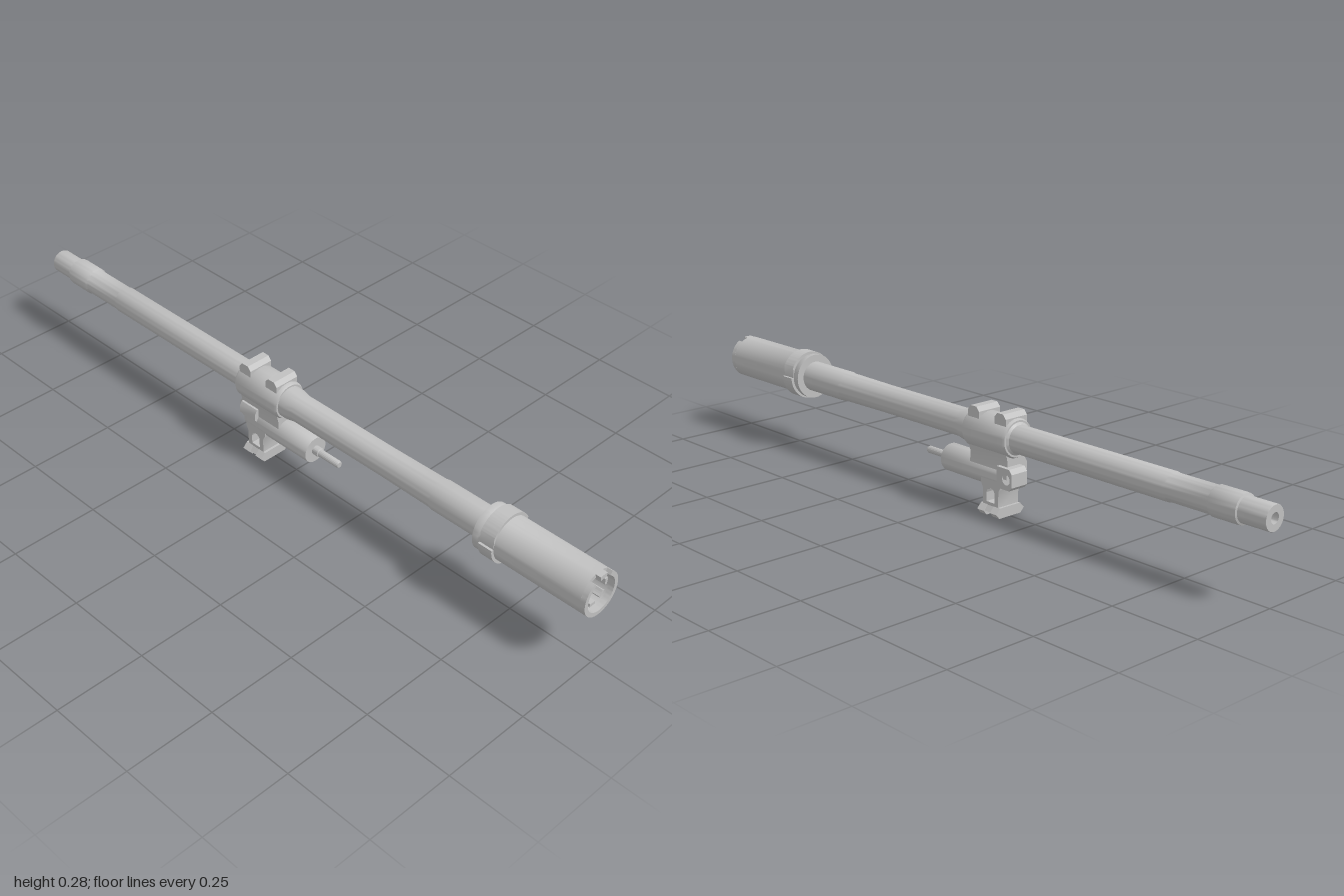
import * as THREE from 'three';
import { toCreasedNormals } from 'three/addons/utils/BufferGeometryUtils.js';

const AXIS = 0.216; // height of the main tube axis
const TUBE = 0.109; // height of the lower tube axis

export function createModel() {
  const model = new THREE.Group();
  const steel = new THREE.MeshStandardMaterial({ color: 0xc0c0c0 });
  steel.name = 'steel grey';

  const add = (name, geometry, x = 0, y = 0, z = 0, parent = model) => {
    const mesh = new THREE.Mesh(toCreasedNormals(geometry, 0.6), steel);
    mesh.name = name;
    mesh.position.set(x, y, z);
    parent.add(mesh);
  };
  // Revolve [radius, z] pairs around the z axis
  const lathe = (pts, sides = 40) =>
    new THREE.LatheGeometry(pts.map(([r, z]) => new THREE.Vector2(r, z)), sides).rotateX(Math.PI / 2);
  const polygon = (pts) => new THREE.Shape(pts.map(([x, y]) => new THREE.Vector2(x, y)));
  const extrude = (shape, depth) =>
    new THREE.ExtrudeGeometry(shape, { depth, bevelEnabled: false, curveSegments: 24 });
  // Extrude a [z, y] outline across x, centred on x = 0
  const extrudeX = (shape, width) =>
    extrude(shape, width).rotateY(-Math.PI / 2).translate(width / 2, 0, 0);
  const circle = (r, x = 0, y = 0) => new THREE.Path().absarc(x, y, r, 0, Math.PI * 2, true);
  // Curved bar between two radii and two angles
  const sector = (r0, r1, a0, a1) => {
    const s = new THREE.Shape();
    s.absarc(0, 0, r1, a0, a1, false);
    s.absarc(0, 0, r0, a1, a0, true);
    s.closePath();
    return s;
  };

  // Main tube with socket and through bore
  add('mainTube', lathe([
    [0.014, -1], [0.032, -1], [0.033, -0.997], [0.033, -0.92], [0.038, -0.918],
    [0.039, -0.91], [0.039, -0.84], [0.036, -0.835], [0.036, -0.71], [0.038, -0.705],
    [0.038, -0.19], [0.044, -0.185], [0.044, -0.005], [0.039, 0.02], [0.039, 0.33],
    [0.041, 0.5], [0.043, 0.51], [0.043, 0.665], [0.064, 0.665], [0.064, 0.68],
    [0.061, 0.685], [0.061, 0.985], [0.049, 0.985], [0.049, 0.9], [0.023, 0.9],
    [0.02, 0.895], [0.014, 0.895], [0.014, -1],
  ]), 0, AXIS);

  // Flange with flats on the upper sides
  const flat = 0.062, ringR = 0.069, a = Math.acos(flat / ringR);
  const flange = new THREE.Shape();
  flange.absarc(0, 0, ringR, Math.PI, Math.PI * 2, false);
  flange.lineTo(flat, 0);
  flange.absarc(0, 0, ringR, a, Math.PI - a, false);
  flange.lineTo(-flat, 0);
  flange.closePath();
  flange.holes.push(circle(0.056));
  add('flange', extrude(flange, 0.042), 0, AXIS, 0.688);

  // Socket rim, notched on either side of the top
  const deg = Math.PI / 180;
  for (const [from, to] of [[78, 102], [122, 418]]) {
    add('socketRim', extrude(sector(0.049, 0.061, from * deg, to * deg), 0.015), 0, AXIS, 0.985);
  }
  // Inner lugs, with a pointed one at the top
  for (let k = 1; k < 8; k++) {
    const mid = (90 + 45 * k) * deg;
    add('socketLug', extrude(sector(0.04, 0.05, mid - 0.22, mid + 0.22), 0.035), 0, AXIS, 0.945);
  }
  add('topSocketLug', extrude(polygon([[-0.018, 0.049], [0, 0.037], [0.018, 0.049]]), 0.06), 0, AXIS, 0.9);

  // Clamp block around the main tube
  add('clampBlock', lathe([
    [0.04, -0.185], [0.049, -0.185], [0.053, -0.178], [0.053, -0.032], [0.049, -0.025], [0.04, -0.025],
  ]), 0, AXIS);
  // Chamfered cross lugs on top of the clamp
  const lugOutline = polygon([
    [-0.021, 0.25], [0.021, 0.25], [0.021, 0.272], [0.011, 0.284], [-0.011, 0.284], [-0.021, 0.272],
  ]);
  for (const z of [-0.057, -0.157]) add('topLug', extrudeX(lugOutline, 0.075), 0, 0, z);

  // Neck joining clamp and lower tube
  add('neck', extrude(polygon([
    [-0.03, 0.11], [0.034, 0.11], [0.03, 0.155], [0.038, 0.19], [-0.038, 0.19], [-0.03, 0.155],
  ]), 0.14), 0, 0, -0.178);

  // Lower tube and its rod
  add('lowerTube', lathe([
    [0, -0.165], [0.037, -0.165], [0.038, -0.163], [0.038, 0.07], [0.037, 0.072], [0, 0.072],
  ], 32), 0, TUBE);
  add('rod', lathe([
    [0, 0.06], [0.013, 0.06], [0.013, 0.09], [0.01, 0.092], [0.01, 0.158], [0.008, 0.162], [0, 0.162],
  ], 16), 0, TUBE);

  // Side rib along the lower tube
  add('sideRib', extrude(polygon([
    [-0.015, 0.158], [-0.036, 0.156], [-0.043, 0.144], [-0.043, 0.124], [-0.03, 0.114], [-0.015, 0.114],
  ]), 0.06), 0, 0, -0.175);

  // Rear eye with a cross hole
  const eye = polygon([
    [-0.15, 0.086], [-0.196, 0.086], [-0.206, 0.096], [-0.206, 0.132], [-0.196, 0.144], [-0.15, 0.144],
  ]);
  eye.holes.push(circle(0.014, -0.185, 0.114));
  add('rearEye', extrudeX(eye, 0.055), 0.015);

  // Stem with an arched window
  const stem = polygon([
    [-0.15, 0.02], [-0.092, 0.02], [-0.092, 0.07], [-0.084, 0.085], [-0.084, 0.11],
    [-0.158, 0.11], [-0.158, 0.085], [-0.15, 0.07],
  ]);
  const arch = new THREE.Path();
  arch.moveTo(-0.136, 0.036);
  arch.lineTo(-0.136, 0.06);
  arch.absarc(-0.121, 0.06, 0.015, Math.PI, 0, true);
  arch.lineTo(-0.106, 0.036);
  arch.closePath();
  stem.holes.push(arch);
  add('stem', extrudeX(stem, 0.072));

  // Foot: a bar with two teeth below
  const foot = new THREE.Group();
  foot.name = 'foot';
  model.add(foot);
  const footOutline = polygon([
    [-0.038, 0], [0.038, 0], [0.05, 0.013], [0.036, 0.028], [-0.036, 0.028], [-0.05, 0.013],
  ]);
  for (const z of [-0.157, -0.109]) add('footTooth', extrude(footOutline, 0.024), 0, 0, z, foot);
  add('footBar', extrude(polygon([
    [-0.046, 0.013], [0.046, 0.013], [0.036, 0.027], [-0.036, 0.027],
  ]), 0.026), 0, 0, -0.134, foot);

  return model;
}
